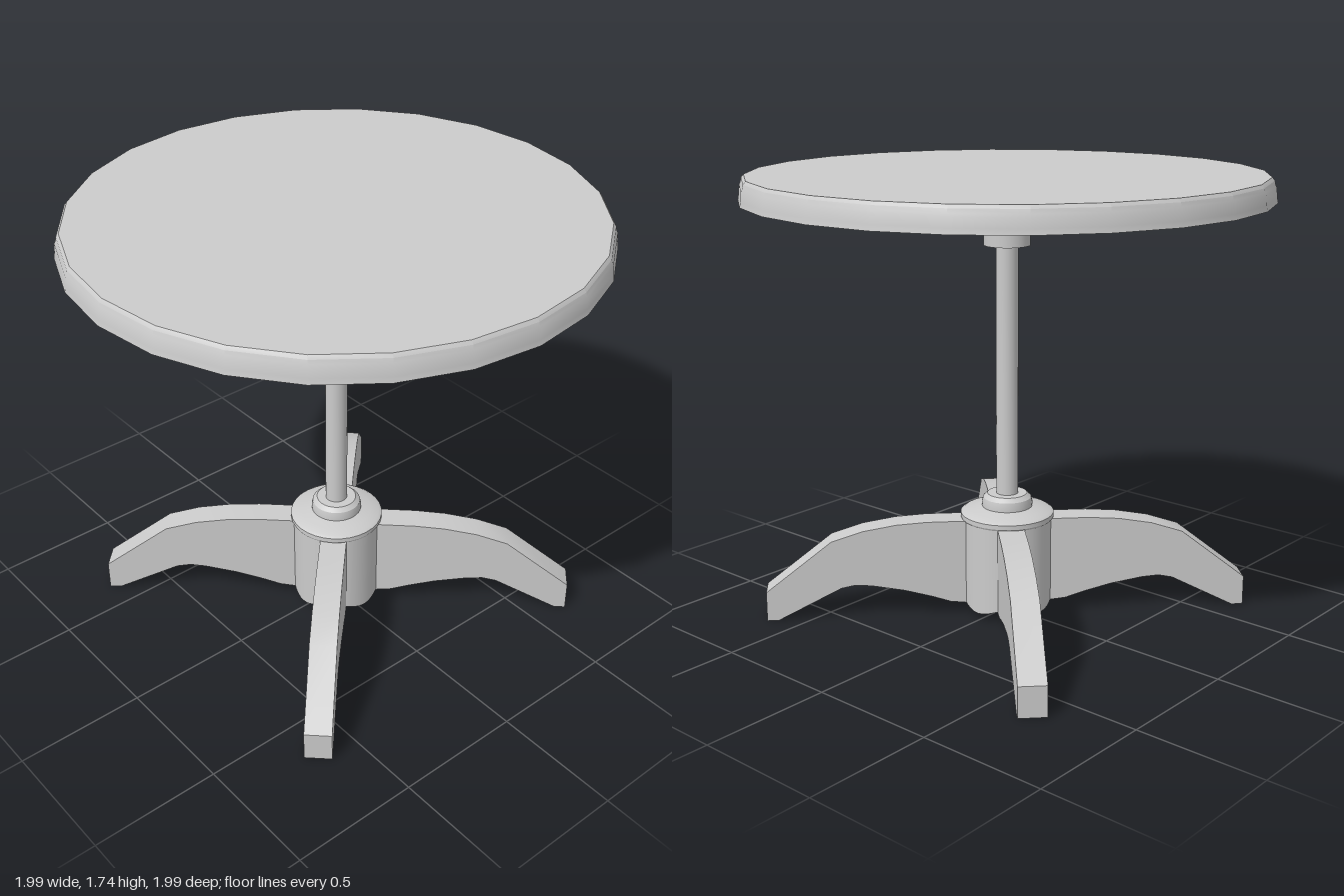
import * as THREE from 'three';
import { toCreasedNormals } from 'three/addons/utils/BufferGeometryUtils.js';

export function createModel() {
  const group = new THREE.Group();
  const grey = new THREE.MeshStandardMaterial({ color: 0xcccccc });
  const greyDouble = new THREE.MeshStandardMaterial({ color: 0xcccccc, side: THREE.DoubleSide });

  const add = (name, geometry, material = grey) => {
    const mesh = new THREE.Mesh(geometry, material);
    mesh.name = name;
    group.add(mesh);
    return mesh;
  };
  // Turned part from [radius, height] pairs, listed bottom to top
  const turned = (name, profile, sides) => {
    const points = profile.map(([r, y]) => new THREE.Vector2(r, y));
    add(name, toCreasedNormals(new THREE.LatheGeometry(points, sides), 0.5));
  };

  // Round top with a stepped, softly bevelled rim
  turned('tableTop', [
    [0, 1.65], [0.997, 1.65], [0.993, 1.67], [0.99, 1.705],
    [0.985, 1.715], [0.982, 1.73], [0.972, 1.742], [0, 1.742],
  ], 24);
  turned('undersideDisc', [[0, 1.64], [0.495, 1.64], [0.495, 1.652], [0, 1.652]], 48);
  turned('mountingPlate', [[0, 1.6], [0.175, 1.6], [0.175, 1.641], [0, 1.641]], 32);
  turned('topSocket', [[0, 1.47], [0.089, 1.47], [0.089, 1.602], [0, 1.602]], 32);

  // Column and its collar
  turned('column', [[0, 0.38], [0.043, 0.38], [0.043, 1.48], [0, 1.48]], 24);
  turned('collar', [
    [0, 0.42], [0.098, 0.42], [0.1, 0.45], [0.095, 0.472], [0.078, 0.488], [0, 0.488],
  ], 32);
  turned('hubCap', [
    [0, 0.388], [0.18, 0.388], [0.184, 0.395], [0.184, 0.412],
    [0.172, 0.42], [0.14, 0.425], [0.11, 0.436], [0, 0.436],
  ], 32);

  // Hollow hub whose lower edge dips between the legs
  const hub = new THREE.CylinderGeometry(0.176, 0.176, 0.36, 48, 1, true);
  const p = hub.attributes.position;
  for (let i = 0; i < p.count; i++) {
    const angle = Math.atan2(p.getX(i), p.getZ(i));
    p.setY(i, p.getY(i) > 0 ? 0.392 : 0.045 - 0.015 * Math.cos(4 * angle));
  }
  add('hub', hub, greyDouble);

  // Four arched legs, cut from a side profile (distance from axis, height)
  const outline = [
    [0.14, 0.39], [0.32, 0.39], [0.44, 0.382], [0.57, 0.36], [0.695, 0.32],
    [0.953, 0.118], [0.953, 0], [0.908, 0], [0.66, 0.126], [0.605, 0.137],
    [0.54, 0.132], [0.41, 0.108], [0.3, 0.078], [0.23, 0.055], [0.14, 0.045],
  ];
  const width = 0.104;
  const shape = new THREE.Shape(outline.map(([r, y]) => new THREE.Vector2(r, y)));
  let leg = new THREE.ExtrudeGeometry(shape, { depth: width, bevelEnabled: false });
  leg.translate(0, 0, -width / 2);
  leg = toCreasedNormals(leg, 0.45);
  for (let i = 0; i < 4; i++) {
    add('leg' + (i + 1), leg).rotation.y = THREE.MathUtils.degToRad(90 * i - 44);
  }
  return group;
}
